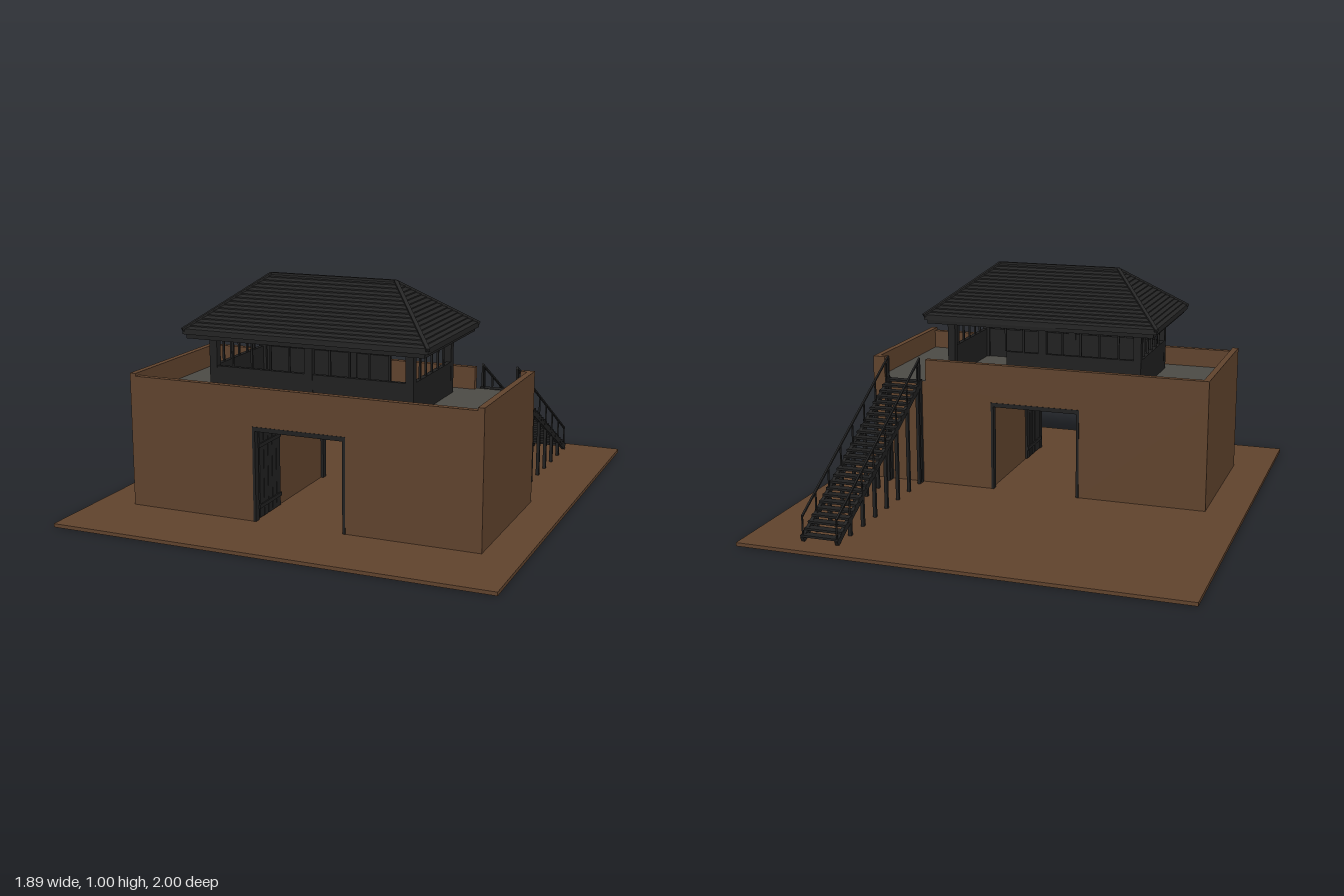
import * as THREE from 'three';

const earth = new THREE.MeshStandardMaterial({ name: 'earthBrown', color: 0x60432d });
const deckGrey = new THREE.MeshStandardMaterial({ name: 'deckGrey', color: 0x4c4a45 });
const timber = new THREE.MeshStandardMaterial({ name: 'darkTimber', color: 0x202020 });
const tile = new THREE.MeshStandardMaterial({ name: 'roofTile', color: 0x242424, flatShading: true });

// box given by its minimum and maximum corners
function box(parent, name, mat, x0, x1, y0, y1, z0, z1) {
  const m = new THREE.Mesh(new THREE.BoxGeometry(x1 - x0, y1 - y0, z1 - z0), mat);
  m.position.set((x0 + x1) / 2, (y0 + y1) / 2, (z0 + z1) / 2);
  m.name = name;
  parent.add(m);
  return m;
}

// straight beam between two points
function beam(parent, name, mat, a, b, w, h = w) {
  const p = new THREE.Vector3(...a), q = new THREE.Vector3(...b);
  const m = new THREE.Mesh(new THREE.BoxGeometry(w, h, p.distanceTo(q)), mat);
  m.position.copy(p).add(q).multiplyScalar(0.5);
  m.lookAt(q);
  m.name = name;
  parent.add(m);
}

function group(parent, name) {
  const g = new THREE.Group();
  g.name = name;
  parent.add(g);
  return g;
}

const G = 0.015, DECK = 0.49, ZB = -0.035, ZF = 0.655, W = 0.775, T = 0.027;

function buildBase(root) {
  const g = group(root, 'gateBlock');
  // solid body with a passage through it
  const s = new THREE.Shape();
  [[-W, G], [-0.205, G], [-0.205, 0.415], [0.205, 0.415], [0.205, G], [W, G], [W, DECK], [-W, DECK]]
    .forEach(([x, y], i) => (i ? s.lineTo(x, y) : s.moveTo(x, y)));
  const body = new THREE.Mesh(new THREE.ExtrudeGeometry(s, { depth: ZF - ZB, bevelEnabled: false }), earth);
  body.position.z = ZB;
  body.name = 'body';
  g.add(body);
  box(g, 'deck', deckGrey, -W + T, W - T, DECK, DECK + 0.004, ZB + T, ZF - T);
  box(g, 'deckThreshold', deckGrey, 0.52, 0.72, DECK, DECK + 0.004, ZB, ZB + T);

  // parapets, with a gap at the back for the stairs
  box(g, 'frontParapet', earth, -W, W, DECK, 0.578, ZF - T, ZF);
  for (const sx of [-1, 1]) {
    const x = sx * (W - T / 2);
    box(g, 'sideParapet', earth, x - T / 2, x + T / 2, DECK, 0.59, ZB, ZF);
  }
  box(g, 'backParapet', earth, -W + T, 0.52, DECK, 0.59, ZB, ZB + T);
  box(g, 'backParapetEnd', earth, 0.72, W - T, DECK, 0.59, ZB, ZB + T);

  // passage frames at both ends
  for (const z of [ZB - 0.002, ZF - 0.028]) {
    box(g, 'lintel', timber, -0.205, 0.205, 0.398, 0.417, z, z + 0.03);
    for (const sx of [-1, 1])
      box(g, 'doorPost', timber, sx * 0.199 - 0.006, sx * 0.199 + 0.006, G, 0.4, z, z + 0.03);
  }
  // open door leaves lying along the passage walls
  for (const sx of [-1, 1]) {
    const leaf = group(g, 'doorLeaf');
    for (let i = 0; i < 5; i++) {
      const z = 0.43 + i * 0.038;
      box(leaf, 'doorBoard', timber, sx * 0.198 - 0.005, sx * 0.198 + 0.005, 0.02, 0.395, z, z + 0.035);
    }
    for (const y of [0.07, 0.33])
      box(leaf, 'hinge', timber, sx * 0.191 - 0.004, sx * 0.191 + 0.004, y - 0.008, y + 0.008, 0.43, 0.63);
  }
}

const HX = 0.45, HZ0 = 0.075, HZ1 = 0.55, SILL = 0.63, TOP = 0.765, CZ = 0.31;

function buildHut(root) {
  const g = group(root, 'guardHut');
  const t = 0.02;
  // low walls; the back one leaves a doorway
  box(g, 'frontWall', timber, -HX, HX, DECK, SILL, HZ1 - t, HZ1);
  box(g, 'backWall', timber, -HX, 0.17, DECK, SILL, HZ0, HZ0 + t);
  for (const sx of [-1, 1]) {
    const x = sx * (HX - t / 2);
    box(g, 'sideWall', timber, x - t / 2, x + t / 2, DECK, SILL, HZ0, HZ1);
    for (const z of [0.175, 0.24, 0.315, 0.385, 0.45])
      box(g, 'sideMullion', timber, x - 0.004, x + 0.004, SILL, TOP, z - 0.004, z + 0.004);
    box(g, 'sideHead', timber, x - t / 2, x + t / 2, 0.75, TOP, HZ0, HZ1);
    for (const z of [HZ0 + 0.015, HZ1 - 0.015])
      box(g, 'cornerPost', timber, sx * 0.434 - 0.017, sx * 0.434 + 0.017, DECK, TOP, z - 0.016, z + 0.016);
  }
  for (const z of [HZ0 + t / 2, HZ1 - t / 2]) {
    box(g, 'head', timber, -HX, HX, 0.75, TOP, z - t / 2, z + t / 2);
    box(g, 'middlePost', timber, -0.018, 0.018, DECK, TOP, z - 0.014, z + 0.014);
    for (const sx of [-1, 1])
      for (const x of [0.09, 0.175, 0.26, 0.347]) {
        if (z < CZ && sx * x > 0.18) continue;
        box(g, 'mullion', timber, sx * x - 0.004, sx * x + 0.004, SILL, TOP, z - 0.004, z + 0.004);
      }
  }
}

const EX = 0.535, EZ = 0.312, RX = 0.28, EY = 0.785, RY = 0.99;

function buildRoof(root) {
  const g = group(root, 'roof');
  const ring = (t, dy) => {
    const x = EX + (RX - EX) * t, z = EZ * (1 - t), y = EY + (RY - EY) * t + dy;
    return [[-x, y, CZ + z], [x, y, CZ + z], [x, y, CZ - z], [-x, y, CZ - z]];
  };
  // inner slope, eave edge, then stepped courses of tiles
  const rings = [ring(1, -0.022), ring(0, -0.018)];
  const rows = 16;
  for (let i = 0; i < rows; i++) rings.push(ring(i / rows, 0.005), ring((i + 1) / rows, 0));
  const pos = [];
  for (let r = 0; r + 1 < rings.length; r++)
    for (let k = 0; k < 4; k++) {
      const n = (k + 1) % 4, [a, b] = [rings[r], rings[r + 1]];
      pos.push(...a[k], ...a[n], ...b[n], ...a[k], ...b[n], ...b[k]);
    }
  const geo = new THREE.BufferGeometry();
  geo.setAttribute('position', new THREE.Float32BufferAttribute(pos, 3));
  geo.computeVertexNormals();
  const shell = new THREE.Mesh(geo, tile);
  shell.name = 'tiledSlopes';
  g.add(shell);

  // ridge and hip caps
  beam(g, 'ridgeCap', tile, [-RX, RY, CZ], [RX, RY, CZ], 0.016, 0.012);
  for (const sx of [-1, 1])
    for (const sz of [-1, 1])
      beam(g, 'hipCap', tile, [sx * EX, EY, CZ + sz * EZ], [sx * RX, RY, CZ], 0.016, 0.014);

  // eave beams, and brackets carrying them
  for (const s of [-1, 1]) {
    const z = CZ + s * 0.297;
    box(g, 'eaveBeam', timber, -0.52, 0.52, 0.75, 0.775, z - 0.009, z + 0.009);
    box(g, 'sideEaveBeam', timber, s * 0.511 - 0.009, s * 0.511 + 0.009, 0.75, 0.775, 0.013, 0.607);
    for (const x of [-0.434, 0, 0.434])
      box(g, 'crossTie', timber, x - 0.01, x + 0.01, 0.757, 0.775, Math.min(CZ, z), Math.max(CZ, z));
    for (const hz of [HZ0 + 0.015, HZ1 - 0.015])
      box(g, 'sideTie', timber, Math.min(s * 0.434, s * 0.515), Math.max(s * 0.434, s * 0.515), 0.757, 0.775, hz - 0.01, hz + 0.01);
    // rafters
    for (let i = -4; i <= 4; i++) {
      const x = i * 0.068;
      beam(g, 'rafter', timber, [x, 0.765, CZ + s * 0.29], [x, 0.96, CZ], 0.012);
    }
    for (const dz of [-0.15, 0, 0.15])
      beam(g, 'endRafter', timber, [s * 0.51, 0.765, CZ + dz], [s * (0.29 + Math.abs(dz) * 0.75), 0.955 - Math.abs(dz) * 0.62, CZ + dz], 0.012);
  }
}

function buildStairs(root) {
  const g = group(root, 'stairs');
  const x0 = 0.535, x1 = 0.703, z0 = -0.035, z1 = -0.905, y0 = 0.495, y1 = 0.025;
  const lineY = z => y0 + (y1 - y0) * (z - z0) / (z1 - z0);
  const steps = 26;
  for (let i = 0; i < steps; i++) {
    const z = z0 + (z1 - z0) * (i + 0.5) / steps, y = lineY(z);
    box(g, 'tread', timber, x0, x1, y + 0.001, y + 0.01, z - 0.02, z + 0.018);
  }
  const posts = [-0.073, -0.19, -0.31, -0.428, -0.545, -0.662, -0.78, -0.9];
  for (const x of [x0 + 0.008, x1 - 0.008]) {
    beam(g, 'stringer', timber, [x, y0 - 0.008, z0], [x, y1 - 0.002, z1], 0.014, 0.026);
    beam(g, 'handrail', timber, [x, 0.597, -0.045], [x, 0.122, -0.9], 0.008);
    box(g, 'topRailPost', timber, x - 0.004, x + 0.004, 0.48, 0.597, -0.054, -0.044);
    box(g, 'topLeg', timber, x - 0.008, x + 0.008, G, 0.5, -0.054, -0.038);
    posts.forEach((z, i) => {
      const y = lineY(z);
      box(g, 'railPost', timber, x - 0.003, x + 0.003, y, 0.597 + (z + 0.045) * 0.5556, z - 0.003, z + 0.003);
      if (i < 7) box(g, 'leg', timber, x - 0.007, x + 0.007, G, y, z - 0.007, z + 0.007);
    });
  }
}

export function createModel() {
  const root = new THREE.Group();
  root.name = 'gatehouse';
  box(root, 'ground', earth, -0.945, 0.945, 0, G, -1, 1);
  buildBase(root);
  buildHut(root);
  buildRoof(root);
  buildStairs(root);
  return root;
}
